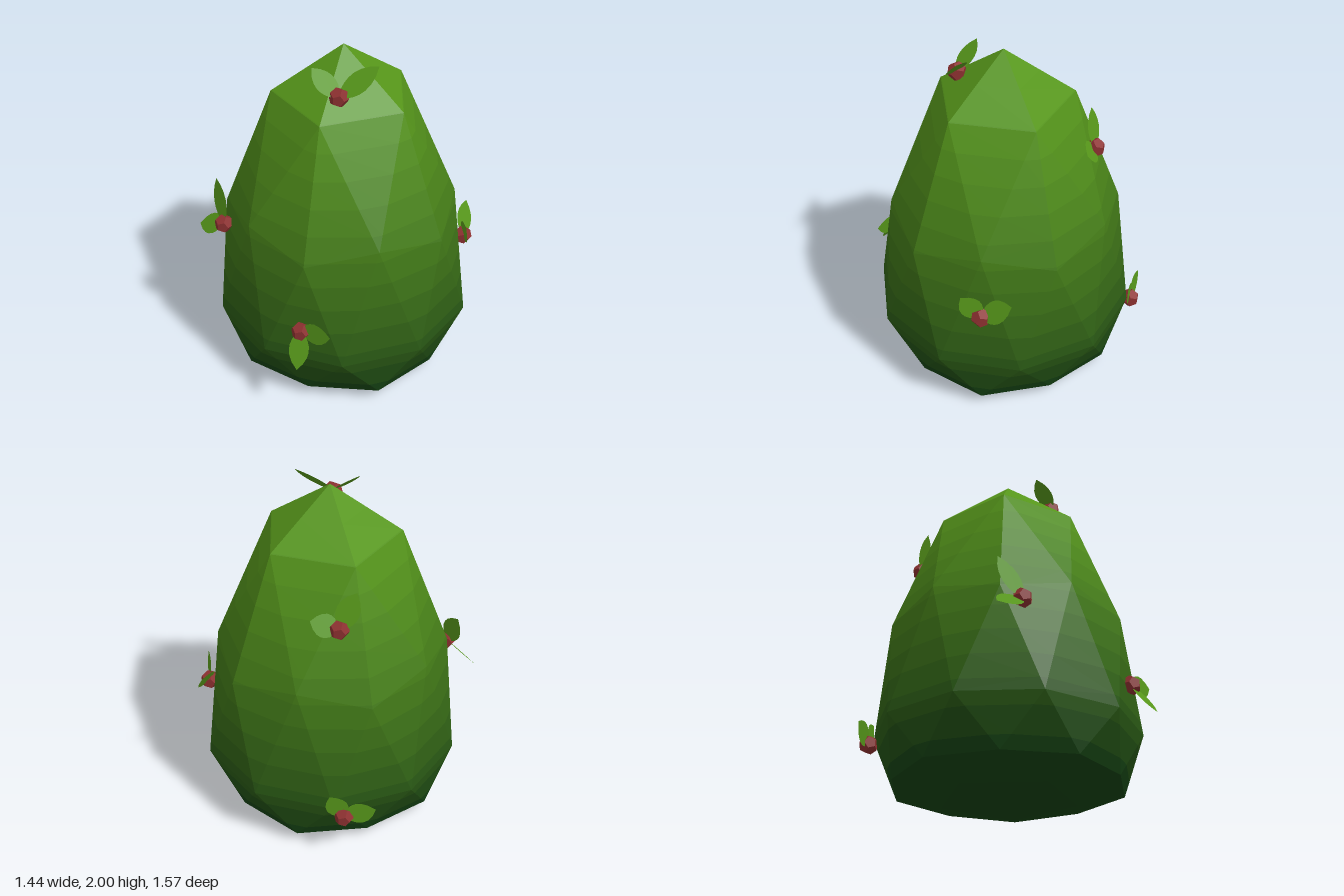
import * as THREE from 'three';

const V = (x, y, z) => new THREE.Vector3(x, y, z);
const BANDS = 14, HEIGHT = 2, CENTRE_Z = -0.035;

// Ring of points; even and odd points may differ in radius and height
function ring(count, startDeg, rEven, yEven, rOdd = rEven, yOdd = yEven) {
  return Array.from({ length: count }, (_, i) => {
    const a = THREE.MathUtils.degToRad(startDeg + (i * 360) / count);
    const r = i % 2 && count === 10 ? rOdd : rEven;
    const y = i % 2 && count === 10 ? yOdd : yEven;
    return V(r * Math.cos(a), y, CENTRE_Z - r * Math.sin(a));
  });
}

// Triangles of the faceted, stretched geodesic body
function bodyTriangles() {
  const apex = V(0, 2, CENTRE_Z), base = V(0, 0, CENTRE_Z);
  const crown = ring(5, 0, 0.4, 1.71);
  const shoulder = ring(10, 0, 0.68, 0.98, 0.645, 1.06);
  const belly = ring(10, 18, 0.757, 0.36);
  const foot = ring(10, 36, 0.68, 0.07, 0.645, 0.07);
  const sole = ring(5, 36, 0.4, 0);
  const tris = [];

  // Cap: a point, five inner points and ten outer points
  const cap = (tip, inner, outer, flip) => {
    const add = (a, b, c) => tris.push(flip ? [a, c, b] : [a, b, c]);
    for (let k = 0; k < 5; k++) {
      const n = (k + 1) % 5, mid = outer[2 * k + 1];
      add(tip, inner[k], inner[n]);
      add(mid, inner[n], inner[k]);
      add(outer[2 * k], mid, inner[k]);
      add(mid, outer[2 * n], inner[n]);
    }
  };
  // Zigzag strip between two rings of ten; the lower one is half a step ahead
  const strip = (upper, lower) => {
    for (let k = 0; k < 10; k++) {
      const n = (k + 1) % 10;
      tris.push([upper[k], lower[k], upper[n]], [lower[k], lower[n], upper[n]]);
    }
  };
  cap(apex, crown, shoulder, false);
  strip(shoulder, belly);
  strip(belly, foot);
  cap(base, sole, foot, true);
  return tris;
}

// Keep the part of a polygon above (sign 1) or below (sign -1) a height
function clip(poly, height, sign) {
  const out = [];
  poly.forEach((a, i) => {
    const b = poly[(i + 1) % poly.length];
    const da = (a.y - height) * sign, db = (b.y - height) * sign;
    if (da >= 0) out.push(a);
    if (da * db < 0) out.push(a.clone().lerp(b, da / (da - db)));
  });
  return out;
}

// Body in thin height bands, from dark green at the foot to light at the tip
function makeBody() {
  const body = new THREE.Group();
  body.name = 'bushBody';
  const tris = bodyTriangles();
  const dark = new THREE.Color(0x0c3a12), light = new THREE.Color(0x56961a);
  for (let i = 0; i < BANDS; i++) {
    const low = i === 0 ? -1 : (HEIGHT * i) / BANDS;
    const high = i === BANDS - 1 ? 3 : (HEIGHT * (i + 1)) / BANDS;
    const points = [];
    for (const tri of tris) {
      const poly = clip(clip(tri, low, 1), high, -1);
      for (let j = 1; j < poly.length - 1; j++) points.push(poly[0], poly[j], poly[j + 1]);
    }
    const geometry = new THREE.BufferGeometry().setFromPoints(points);
    geometry.computeVertexNormals();
    const t = Math.min(1, (i + 0.5) / (BANDS * 0.9));
    const material = new THREE.MeshStandardMaterial({
      color: dark.clone().lerp(light, t), flatShading: true,
    });
    const band = new THREE.Mesh(geometry, material);
    band.name = `bushBand${i + 1}`;
    body.add(band);
  }
  return body;
}

// Pointed leaf of unit length along +y
function leafGeometry() {
  const s = new THREE.Shape();
  s.moveTo(0, 0);
  s.bezierCurveTo(0.2, 0.1, 0.52, 0.55, 0, 1);
  s.bezierCurveTo(-0.52, 0.55, -0.2, 0.1, 0, 0);
  return new THREE.ShapeGeometry(s, 8);
}

// Each sprig: berry centre, then two leaves as [tip, facing]
const SPRIGS = [
  { at: [0.135, 1.82, 0.19], leaves: [[[0.28, 1.98, 0.03], [0, 0.7, 0.7]], [[-0.03, 1.95, 0.21], [0.55, 0.8, 0.2]]] },
  { at: [-0.49, 0.89, 0.47], leaves: [[[-0.6, 1.12, 0.39], [-0.3, 0.2, 0.95]], [[-0.69, 0.8, 0.46], [-0.35, 0.65, 0.65]]] },
  { at: [0.22, 0.57, 0.66], leaves: [[[0.415, 0.61, 0.65], [0, 0.1, 1]], [[0.28, 0.4, 0.78], [0, 0.6, 0.8]]] },
  { at: [0.57, 0.72, -0.46], leaves: [[[0.49, 0.85, -0.62], [0.9, 0.5, 0]], [[0.64, 0.85, -0.375], [0.6, 0.1, -0.65]]] },
  { at: [-0.5, 0.32, -0.63], leaves: [[[-0.66, 0.395, -0.55], [-0.4, 0.1, -0.9]], [[-0.43, 0.46, -0.67], [0.5, 0, 0.85]]] },
  { at: [-0.33, 1.41, -0.43], leaves: [[[-0.19, 1.45, -0.5], [-0.45, 0.5, -0.6]], [[-0.38, 1.61, -0.34], [-0.3, 0.3, -0.85]]] },
];

export function createModel() {
  const model = new THREE.Group();
  model.name = 'berryBush';
  model.add(makeBody());

  const leafShape = leafGeometry();
  const berryShape = new THREE.DodecahedronGeometry(0.056);
  const leafMaterial = new THREE.MeshStandardMaterial({ color: 0x56961a, side: THREE.DoubleSide });
  const berryMaterial = new THREE.MeshStandardMaterial({ color: 0x8c3030, flatShading: true });

  for (const { at, leaves } of SPRIGS) {
    const sprig = new THREE.Group();
    sprig.name = 'berrySprig';
    sprig.position.set(...at);
    const berry = new THREE.Mesh(berryShape, berryMaterial);
    berry.name = 'berry';
    sprig.add(berry);
    for (const [tip, facing] of leaves) {
      const along = V(...tip).sub(sprig.position);
      const length = along.length();
      along.normalize();
      const side = along.clone().cross(V(...facing)).normalize();
      const normal = side.clone().cross(along);
      const leaf = new THREE.Mesh(leafShape, leafMaterial);
      leaf.name = 'leaf';
      leaf.quaternion.setFromRotationMatrix(new THREE.Matrix4().makeBasis(side, along, normal));
      leaf.scale.set(0.23, length, 1);
      sprig.add(leaf);
    }
    model.add(sprig);
  }
  return model;
}
